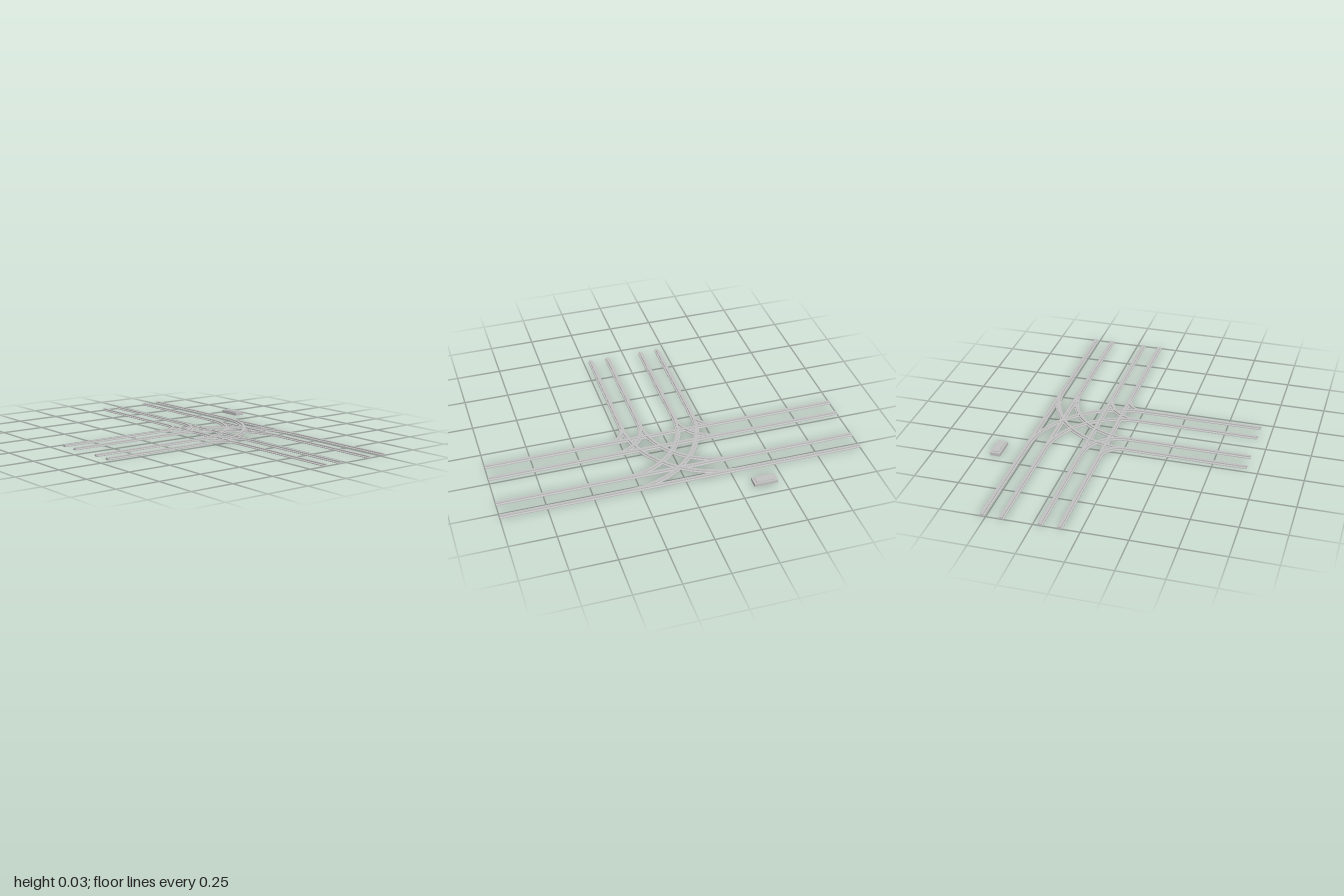
import * as THREE from 'three';
import { toCreasedNormals } from 'three/addons/utils/BufferGeometryUtils.js';

// Rail cross-section: wide foot, narrower head (offset across, height)
const PROFILE = [
  [0.015, 0], [0.015, 0.004], [0.007, 0.006], [0.007, 0.012],
  [-0.007, 0.012], [-0.007, 0.006], [-0.015, 0.004], [-0.015, 0],
];
const CENTRE_X = 0.317;   // turning centre of every curve, mirrored in x
const CENTRE_Z = 0.002;
const RADII = [0.11, 0.214, 0.42, 0.524];
const FRONT_Z = 0.685;

export function createModel() {
  const model = new THREE.Group();
  model.name = 'railJunction';
  const steel = new THREE.MeshStandardMaterial({ color: 0xc1c1c1 });
  steel.name = 'light steel grey';

  const add = (geometry, name, parent, x = 0, y = 0, z = 0) => {
    const mesh = new THREE.Mesh(geometry, steel);
    mesh.name = name;
    mesh.position.set(x, y, z);
    parent.add(mesh);
    return mesh;
  };
  const group = (name) => {
    const g = new THREE.Group();
    g.name = name;
    model.add(g);
    return g;
  };
  const straightRail = (length) => new THREE.ExtrudeGeometry(
    new THREE.Shape(PROFILE.map(([u, v]) => new THREE.Vector2(u, v))),
    { depth: length, bevelEnabled: false },
  );
  const curvedRail = (radius, start) => {
    const ring = [...PROFILE, PROFILE[0]].map(([u, v]) => new THREE.Vector2(radius + u, v));
    return toCreasedNormals(new THREE.LatheGeometry(ring, 24, start, Math.PI / 2), 0.4);
  };

  // Two through tracks running from side to side
  const through = group('throughTracks');
  for (const r of RADII) {
    add(straightRail(2), 'throughRail', through, -1, 0, CENTRE_Z - r).rotation.y = Math.PI / 2;
  }

  // Two branch tracks running to the front
  const branch = group('branchTracks');
  for (const r of RADII) {
    add(straightRail(FRONT_Z - CENTRE_Z), 'branchRail', branch, CENTRE_X - r, 0, CENTRE_Z);
  }

  // Quarter-circle turns linking the branch with both through tracks
  const turns = group('turningTracks');
  for (const side of [-1, 1]) {
    const start = side > 0 ? Math.PI : Math.PI / 2;
    for (const r of RADII) {
      add(curvedRail(r, start), 'turningRail', turns, side * CENTRE_X, 0, CENTRE_Z);
    }
  }

  // Low control box with a raised lid behind the tracks
  const box = group('controlBox');
  box.position.set(-0.395, 0, -0.656);
  add(new THREE.BoxGeometry(0.13, 0.018, 0.058), 'boxBody', box, 0, 0.013, 0);
  add(new THREE.BoxGeometry(0.1, 0.004, 0.036), 'boxLid', box, 0, 0.0235, 0);

  return model;
}
